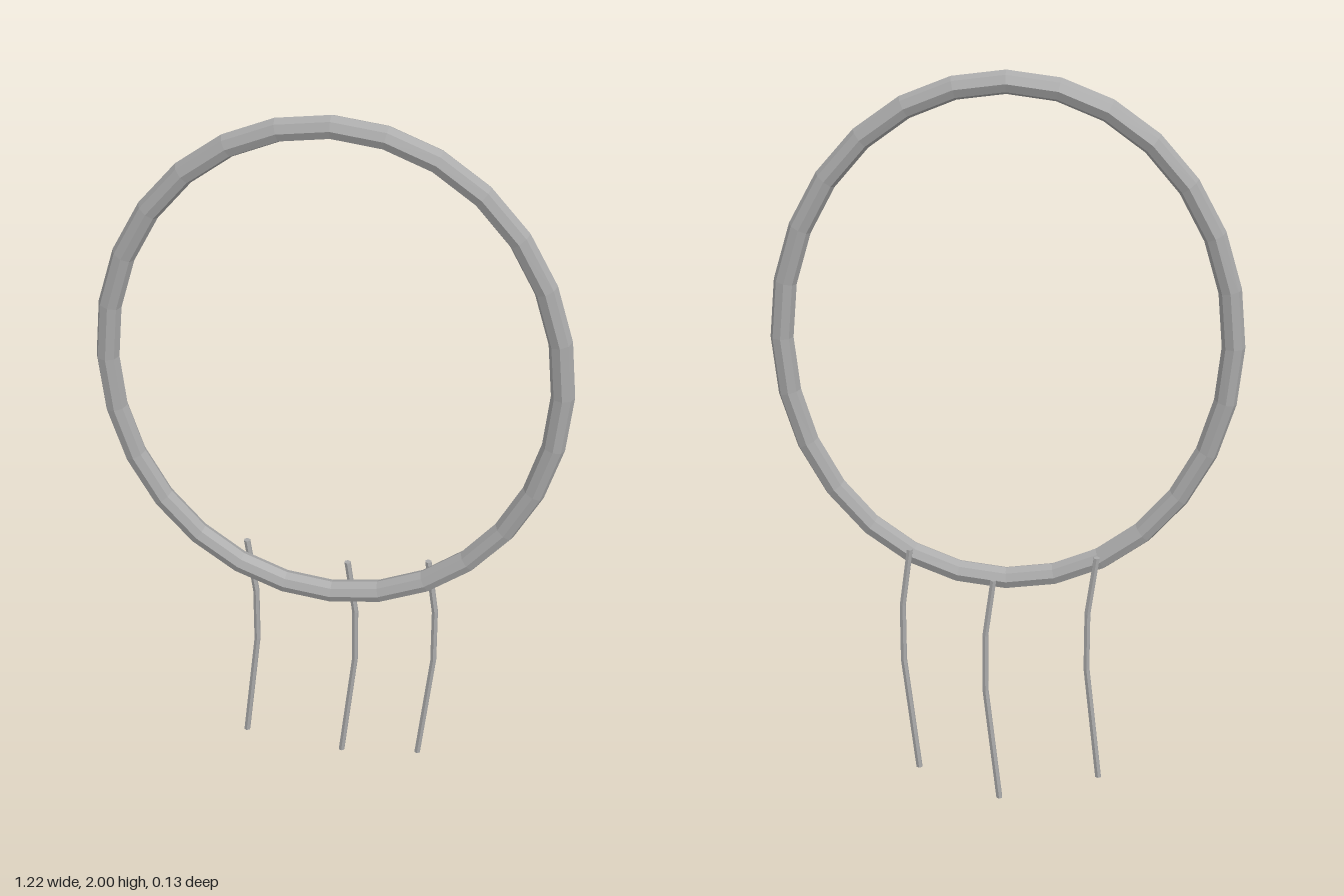
import * as THREE from 'three';

export function createModel() {
  const model = new THREE.Group();
  const grey = new THREE.MeshStandardMaterial({ color: 0xaaaaaa, flatShading: true });
  grey.name = 'grey';

  // Oval hoop: a low-poly torus stretched vertically at constant thickness
  const hoopGeometry = new THREE.TorusGeometry(0.58, 0.03, 8, 28);
  const p = hoopGeometry.attributes.position;
  for (let i = 0; i < p.count; i++) {
    const angle = Math.atan2(p.getY(i), p.getX(i));
    p.setY(i, p.getY(i) + 0.09 * Math.sin(angle));
  }
  const hoop = new THREE.Mesh(hoopGeometry, grey);
  hoop.name = 'hoop';
  hoop.position.set(0, 1.3, 0.03);
  model.add(hoop);

  // Bent hanging strand: cylinder rows moved onto a four-point path, top to bottom
  const path = [[-0.022, 0.665], [0, 0.5], [0, 0.335], [-0.037, 0]];
  function addStrand(name, x, y, z) {
    const geometry = new THREE.CylinderGeometry(0.009, 0.009, 3, 6, 3);
    const q = geometry.attributes.position;
    for (let i = 0; i < q.count; i++) {
      const [dx, dy] = path[Math.round(1.5 - q.getY(i))];
      q.setX(i, q.getX(i) + dx);
      q.setY(i, dy);
    }
    const strand = new THREE.Mesh(geometry, grey);
    strand.name = name;
    strand.position.set(x, y, z);
    model.add(strand);
  }
  addStrand('rightStrand', -0.222, 0.06, -0.03);
  addStrand('middleStrand', 0.049, 0, -0.06);
  addStrand('leftStrand', 0.275, 0.062, -0.016);

  return model;
}
